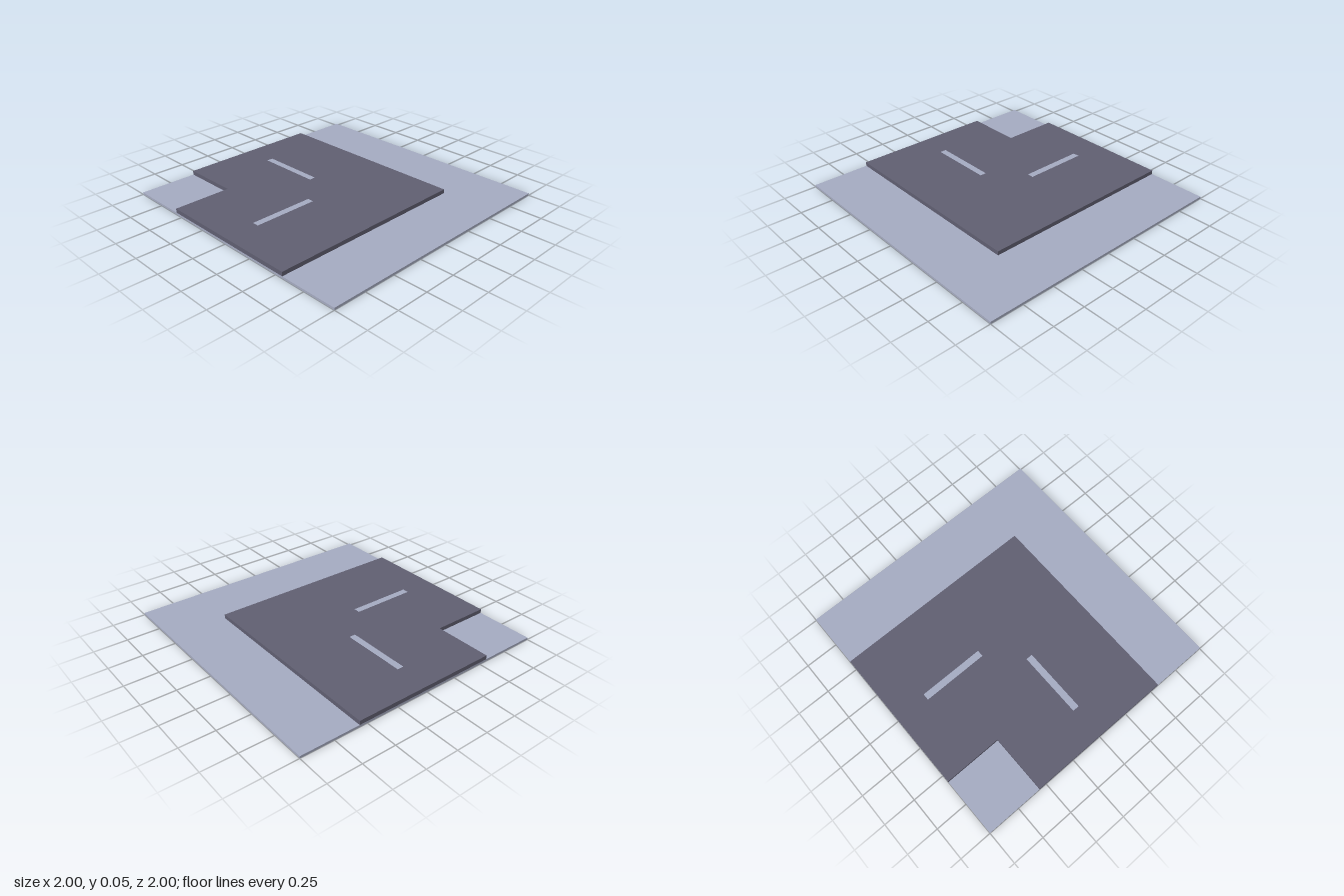
import * as THREE from 'three';

const BASE_TOP = 0.016;
const ROAD_TOP = 0.047;
const EDGE = 0.56;

export function createModel() {
  const group = new THREE.Group();
  const light = new THREE.MeshStandardMaterial({ color: 0xa4aac0 });
  const dark = new THREE.MeshStandardMaterial({ color: 0x5f5e70 });

  const add = (name, geometry, material, x, y, z) => {
    const mesh = new THREE.Mesh(geometry, material);
    mesh.name = name;
    mesh.position.set(x, y, z);
    group.add(mesh);
  };

  // Square pavement slab
  add('pavement', new THREE.BoxGeometry(2, BASE_TOP, 2), light, 0, BASE_TOP / 2, 0);

  // L-shaped road, drawn as (x, -z) and extruded upwards
  const outline = [[-1, -EDGE], [EDGE, -EDGE], [EDGE, 1], [-EDGE, 1], [-EDGE, EDGE], [-1, EDGE]];
  const shape = new THREE.Shape(outline.map(([x, y]) => new THREE.Vector2(x, y)));
  const road = new THREE.ExtrudeGeometry(shape, { depth: ROAD_TOP - BASE_TOP, bevelEnabled: false });
  road.rotateX(-Math.PI / 2);
  add('road', road, dark, 0, BASE_TOP, 0);

  // Flat lane markings, one on each arm of the bend
  const marking = (name, w, d, x, z) =>
    add(name, new THREE.PlaneGeometry(w, d).rotateX(-Math.PI / 2), light, x, ROAD_TOP + 0.001, z);
  marking('rightLaneMarking', 0.5, 0.05, -0.5, 0);
  marking('backLaneMarking', 0.05, 0.5, 0, -0.5);

  return group;
}
